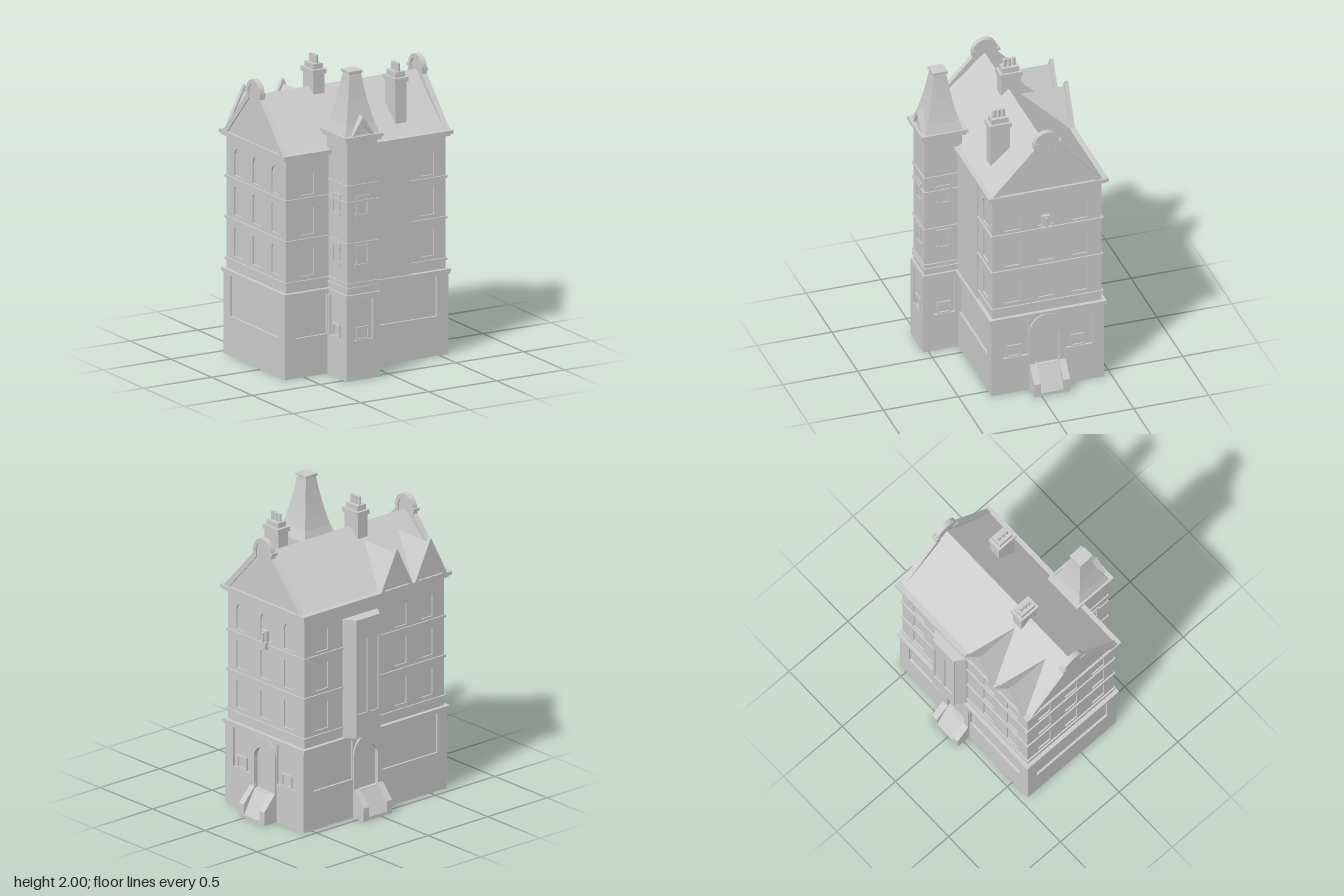
import * as THREE from 'three';

const mat = new THREE.MeshStandardMaterial({ color: 0xcccccc, flatShading: true, side: THREE.DoubleSide });
const ANGLE = { front: 0, right: Math.PI / 2, back: Math.PI, left: -Math.PI / 2 };

function add(parent, name, geo) {
  const m = new THREE.Mesh(geo, mat);
  m.name = name;
  parent.add(m);
  return m;
}

// Box given by its limits
function box(parent, name, x0, x1, y0, y1, z0, z1) {
  const m = add(parent, name, new THREE.BoxGeometry(x1 - x0, y1 - y0, z1 - z0));
  m.position.set((x0 + x1) / 2, (y0 + y1) / 2, (z0 + z1) / 2);
}

const poly = (pts) => new THREE.Shape(pts.map((p) => new THREE.Vector2(...p)));
const rect = (u0, u1, v0, v1) => poly([[u0, v0], [u1, v0], [u1, v1], [u0, v1]]);

// Opening with a round head, or a segmental one when rise is small
function arch(u0, u1, v0, v1, rise = (u1 - u0) / 2) {
  const s = new THREE.Shape();
  s.moveTo(u0, v0);
  s.lineTo(u1, v0);
  s.lineTo(u1, v1 - rise);
  s.absellipse((u0 + u1) / 2, v1 - rise, (u1 - u0) / 2, rise, 0, Math.PI, false, 0);
  s.closePath();
  return s;
}

const extrude = (shape, depth) =>
  new THREE.ExtrudeGeometry(shape, { depth, bevelEnabled: false, curveSegments: 8 });

// Turns an object to one side, at distance d from the centre
function turn(obj, side, d) {
  const a = ANGLE[side];
  obj.rotation.y = a;
  obj.position.set(Math.sin(a) * d, 0, Math.cos(a) * d);
}

// Wall slab facing one side, its outer face at distance d
// u runs along: front +x, right -z, back -x, left +z
function facade(parent, name, side, d, shape, holes = [], t = 0.015) {
  shape.holes.push(...holes);
  turn(add(parent, name, extrude(shape, t).translate(0, 0, -t)), side, d);
}

// Shape in (z, y) drawn along x
const alongX = (shape, x0, x1) =>
  extrude(shape, x1 - x0).rotateY(-Math.PI / 2).translate(x1, 0, 0);

// Three floors of arched windows in columns centred on each u
const windows = (cols) => cols.flatMap((u) =>
  [[0.66, 0.85], [0.93, 1.12], [1.19, 1.37]].map(([a, b], i) =>
    arch(u - 0.05, u + 0.05, a, b, i === 2 ? 0.05 : 0.015)));

// Door surround with stairs between two sloping cheeks
function entrance(parent, side, d, u) {
  facade(parent, 'doorSurround', side, d + 0.012, arch(u - 0.12, u + 0.12, 0.17, 0.545, 0.12),
    [arch(u - 0.08, u + 0.08, 0.18, 0.47)], 0.027);
  const g = new THREE.Group();
  g.name = 'entranceStairs';
  const cheek = poly([[0, 0], [0.102, 0], [0.102, 0.09], [0, 0.205]]);
  add(g, 'stairCheek', alongX(cheek, u - 0.12, u - 0.075));
  add(g, 'stairCheek', alongX(cheek, u + 0.075, u + 0.12));
  const ramp = poly([[0, 0], [0.1, 0], [0.1, 0.02], [0.01, 0.18], [0, 0.18]]);
  add(g, 'stairRamp', alongX(ramp, u - 0.08, u + 0.08));
  turn(g, side, d);
  parent.add(g);
}

function chimney(parent, x, z, bottom, cap) {
  const g = new THREE.Group();
  g.name = 'chimney';
  box(g, 'chimneyShaft', -0.04, 0.04, bottom, cap, -0.065, 0.065);
  box(g, 'chimneyCap', -0.05, 0.05, cap, cap + 0.03, -0.075, 0.075);
  box(g, 'chimneyTop', -0.035, 0.035, cap + 0.03, cap + 0.065, -0.055, 0.055);
  for (const dz of [-0.03, 0, 0.03]) {
    const pot = add(g, 'chimneyPot', new THREE.CylinderGeometry(0.014, 0.014, 0.055, 8));
    pot.position.set(0, cap + 0.09, dz);
  }
  g.position.set(x, 0, z);
  parent.add(g);
}

export function createModel() {
  const root = new THREE.Group();
  root.name = 'townHouse';

  // Ground floor with recessed panels
  box(root, 'groundFloorCore', -0.625, 0.55, 0, 0.54, -0.435, 0.285);
  const panel = (a, b) => rect(a, b, 0.26, 0.525);
  facade(root, 'groundFloorFront', 'front', 0.3, rect(-0.64, 0.565, 0, 0.54), [panel(-0.56, -0.33), panel(-0.07, 0.48)]);
  facade(root, 'groundFloorRight', 'right', 0.565, rect(-0.3, 0.45, 0, 0.54),
    [panel(-0.225, -0.055), arch(-0.01, 0.15, 0.18, 0.47), panel(0.195, 0.375)]);
  facade(root, 'groundFloorBack', 'back', 0.45, rect(-0.565, 0.64, 0, 0.54),
    [panel(-0.48, -0.155), arch(-0.11, 0.05, 0.18, 0.47), panel(0.095, 0.56)]);
  facade(root, 'groundFloorLeft', 'left', 0.64, rect(-0.45, 0.3, 0, 0.54), [panel(-0.375, 0.225)]);
  for (const u of [-0.147, 0.28])
    facade(root, 'cellarWindow', 'right', 0.56, rect(u - 0.047, u + 0.047, 0.26, 0.345),
      [rect(u - 0.037, u + 0.037, 0.27, 0.335)], 0.012);
  entrance(root, 'right', 0.565, 0.07);
  entrance(root, 'back', 0.45, -0.03);

  // Upper floors with shallow arched windows
  box(root, 'upperCore', -0.615, 0.54, 0.54, 1.45, -0.43, 0.28);
  facade(root, 'upperFront', 'front', 0.29, rect(-0.625, 0.55, 0.54, 1.45), windows([-0.47, 0.415]), 0.01);
  facade(root, 'upperRight', 'right', 0.55, rect(-0.29, 0.44, 0.54, 1.45), windows([-0.16, 0.07, 0.295]), 0.01);
  facade(root, 'upperBack', 'back', 0.44, rect(-0.55, 0.625, 0.54, 1.45), windows([-0.4, 0.26, 0.48]), 0.01);
  facade(root, 'upperLeft', 'left', 0.625, rect(-0.44, 0.29, 0.54, 1.45), windows([-0.295, -0.07, 0.16]), 0.01);
  box(root, 'plainWallStrip', -0.1, 0.285, 0.56, 1.44, 0.27, 0.302);

  // String courses and cornices
  const ring = (name, y0, y1, e) => box(root, name, -0.625 - e, 0.55 + e, y0, y1, -0.44 - e, 0.29 + e);
  for (const y of [0.625, 0.897, 1.165]) ring('stringCourse', y - 0.008, y + 0.008, 0.01);
  ring('lowerCornice', 0.53, 0.545, 0.02);
  ring('lowerCornice', 0.545, 0.562, 0.026);
  ring('eavesCornice', 1.433, 1.447, 0.023);
  ring('eavesCornice', 1.447, 1.47, 0.036);

  // Small niche on the right wall
  box(root, 'nicheShelf', 0.54, 0.58, 1.14, 1.185, -0.097, -0.035);
  box(root, 'nicheBack', 0.54, 0.562, 1.185, 1.26, -0.092, -0.04);
  box(root, 'nicheFigure', 0.555, 0.575, 1.185, 1.25, -0.075, -0.055);

  // Canted bay on the back
  const plan = poly([[-0.06, 0.42], [0.23, 0.42], [0.23, 0.45], [0.18, 0.51], [-0.02, 0.51], [-0.06, 0.45]]);
  add(root, 'bay', extrude(plan, 0.8).rotateX(-Math.PI / 2).translate(0, 0.56, 0));
  facade(root, 'bayWindows', 'back', 0.52, rect(-0.18, 0.02, 0.56, 1.36),
    [arch(-0.165, -0.09, 0.72, 1.25), arch(-0.07, 0.005, 0.72, 1.25)], 0.012);

  // Main roof
  add(root, 'roof', alongX(poly([[-0.45, 1.46], [0.305, 1.46], [-0.065, 1.785]]), -0.635, 0.555));

  // End gables with a round crown, inset by e
  const gable = (e) => {
    const s = new THREE.Shape();
    const base = 1.465 + e * 0.1;
    s.moveTo(-0.44 + e, base);
    s.lineTo(0.305 - e, base);
    s.lineTo(0.018 - e * 0.5, 1.77 - e * 0.4);
    s.lineTo(0.018 - e * 0.5, 1.8);
    s.absarc(-0.067, 1.8, 0.085 - e * 0.5, 0, Math.PI, false);
    s.lineTo(-0.152 + e * 0.5, 1.77 - e * 0.4);
    s.closePath();
    return s;
  };
  for (const s of [-1, 1]) {
    const cx = -0.0385 + s * 0.5975;
    add(root, 'gableWall', alongX(gable(0.05), cx - 0.01, cx + 0.01));
    const coping = gable(0);
    coping.holes.push(gable(0.055));
    add(root, 'gableCoping', alongX(coping, cx - 0.018, cx + 0.018));
    for (const z of [-0.15, 0.005]) box(root, 'gableKneeler', cx - 0.023, cx + 0.023, 1.79, 1.81, z - 0.015, z + 0.015);
  }

  // Back dormers
  for (const x of [-0.485, -0.2]) {
    const tri = (h, top, y = 1.46) => poly([[x - h, y], [x + h, y], [x, top]]);
    add(root, 'dormerRoof', extrude(tri(0.13, 1.705), 0.36).translate(0, 0, -0.462));
    const front = tri(0.138, 1.74);
    front.holes.push(tri(0.105, 1.675, 1.475));
    add(root, 'dormerCoping', extrude(front, 0.027).translate(0, 0, -0.475));
  }

  // Chimneys
  chimney(root, 0.265, 0.152, 1.5, 1.805);
  chimney(root, -0.2, -0.08, 1.65, 1.87);

  // Stair tower
  const tower = new THREE.Group();
  tower.name = 'stairTower';
  root.add(tower);
  const X = -0.203;
  box(tower, 'towerBaseCore', -0.31, -0.095, 0, 0.54, 0.25, 0.52);
  box(tower, 'towerShaft', -0.312, -0.094, 0.54, 1.57, 0.27, 0.52);
  // Side, base plane, window plane, window centre, base limits
  const towerSides = [
    ['front', 0.535, 0.527, X, -0.325, -0.08],
    ['right', -0.08, -0.087, -0.393, -0.535, -0.25],
    ['left', 0.325, 0.319, 0.393, 0.25, 0.535],
  ];
  for (const [side, d, frameD, u, a, b] of towerSides) {
    facade(tower, 'towerBaseWall', side, d, rect(a, b, 0, 0.54), [rect(u - 0.07, u + 0.07, 0.26, 0.525)]);
    facade(tower, 'towerCellarWindow', side, d - 0.004, rect(u - 0.046, u + 0.046, 0.26, 0.345),
      [rect(u - 0.036, u + 0.036, 0.27, 0.335)], 0.012);
    // Window frames with widened head and sill
    for (const y of [0.735, 1.06]) {
      const half = [[0.052, 0], [0.052, 0.02], [0.042, 0.04], [0.042, 0.105], [0.052, 0.115], [0.052, 0.143]];
      const mirrored = half.map(([w, h]) => [-w, h]).reverse();
      const frame = poly([...half, ...mirrored].map(([w, h]) => [u + w, y + h]));
      facade(tower, 'towerWindowFrame', side, frameD, frame, [rect(u - 0.034, u + 0.034, y + 0.02, y + 0.125)], 0.012);
    }
  }
  const band = (name, y0, y1, e) => box(tower, name, -0.312 - e, -0.094 + e, y0, y1, 0.27 - e, 0.52 + e);
  band('towerCornice', 0.535, 0.56, 0.014);
  for (const y of [0.6, 0.63, 0.893, 1.165, 1.272]) band('towerBand', y - 0.007, y + 0.007, 0.008);
  band('towerEaves', 1.56, 1.578, 0.022);
  band('towerEaves', 1.578, 1.6, 0.031);

  // Flared tower roof and its cap
  const profile = [[0.128, 1.595], [0.105, 1.66], [0.088, 1.73], [0.07, 1.81], [0.054, 1.9], [0.042, 1.98], [0.05, 1.985], [0.05, 2], [0, 2]];
  const spire = add(tower, 'towerRoof', new THREE.LatheGeometry(
    profile.map(([r, y]) => new THREE.Vector2(r * Math.SQRT2, y)), 4, Math.PI / 4));
  spire.position.set(X, 0, 0.395);

  // Small gable on the tower roof
  const t = (h, top, y = 1.6) => poly([[X - h, y], [X + h, y], [X, top]]);
  add(tower, 'towerDormer', extrude(t(0.075, 1.7), 0.1).translate(0, 0, 0.425));
  const rim = t(0.08, 1.722);
  rim.holes.push(t(0.055, 1.685, 1.604));
  add(tower, 'towerDormerCoping', extrude(rim, 0.06).translate(0, 0, 0.475));

  return root;
}
